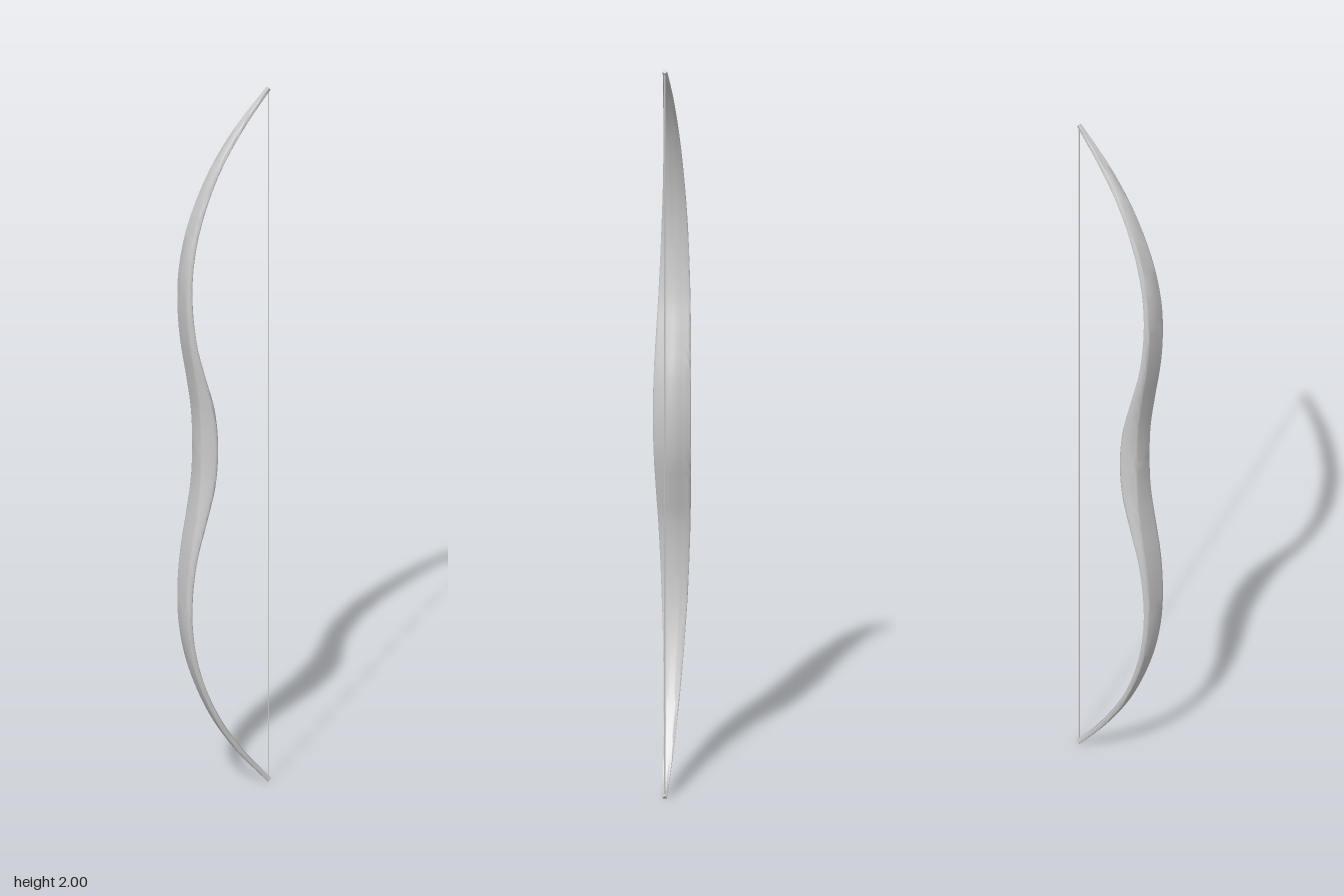
import * as THREE from 'three';
import { toCreasedNormals } from 'three/addons/utils/BufferGeometryUtils.js';

// Upper half of the stave: centre x, height, thickness, half width
const STATIONS = [
  [-0.057, 1.0, 0.06, 0.051], [-0.063, 1.1, 0.053, 0.05], [-0.083, 1.2, 0.038, 0.047],
  [-0.105, 1.3, 0.026, 0.043], [-0.116, 1.4, 0.022, 0.039], [-0.1155, 1.5, 0.021, 0.035],
  [-0.1, 1.6, 0.02, 0.03], [-0.069, 1.7, 0.018, 0.025], [-0.023, 1.8, 0.017, 0.0195],
  [0.043, 1.9, 0.015, 0.0135], [0.123, 1.995, 0.013, 0.0055],
];

// Half cross-section: depth from back (-0.5) to belly (0.5), fraction of half width
const HALF_SECTION = [
  [-0.5, 0], [-0.5, 0.68], [-0.47, 0.82], [-0.38, 0.91], [-0.15, 0.97], [0.04, 1],
  [0.13, 0.99], [0.2, 0.93], [0.24, 0.83], [0.29, 0.66], [0.37, 0.47], [0.45, 0.27], [0.5, 0],
];

// The thick grip narrows towards its back, the thin limbs stay flat
function backTaper(depth, thickness) {
  const grip = Math.max(0, (thickness - 0.02) / 0.04);
  return 1 - 0.5 * grip * Math.max(0, 0.1 - depth);
}

function staveGeometry() {
  // Mirror the half stations about the grip
  const all = [
    ...STATIONS.slice(1).reverse().map(([x, y, t, w]) => [x, 2 - y, t, w]),
    ...STATIONS,
  ];
  const path = new THREE.CatmullRomCurve3(all.map(([x, y]) => new THREE.Vector3(x, y, 0)));
  const size = new THREE.CatmullRomCurve3(all.map(([, , t, w]) => new THREE.Vector3(t, w, 0)));
  const section = [
    ...HALF_SECTION,
    ...HALF_SECTION.slice(1, -1).reverse().map(([d, w]) => [d, -w]),
  ];
  const n = section.length;
  const rings = 100;
  const positions = [];
  const index = [];
  for (let i = 0; i <= rings; i++) {
    const p = path.getPoint(i / rings);
    const s = size.getPoint(i / rings);
    const tan = path.getTangent(i / rings);
    // Depth runs along the in-plane normal, towards the belly
    for (const [d, w] of section) {
      positions.push(
        p.x + tan.y * d * s.x,
        p.y - tan.x * d * s.x,
        w * s.y * backTaper(d, s.x),
      );
    }
  }
  for (let i = 0; i < rings; i++) {
    for (let j = 0; j < n; j++) {
      const a = i * n + j;
      const b = i * n + ((j + 1) % n);
      index.push(a, b, a + n, b, b + n, a + n);
    }
  }
  // Close both tips
  const top = rings * n;
  for (let j = 1; j < n - 1; j++) {
    index.push(0, j + 1, j, top, top + j, top + j + 1);
  }
  const geometry = new THREE.BufferGeometry();
  geometry.setAttribute('position', new THREE.Float32BufferAttribute(positions, 3));
  geometry.setIndex(index);
  return toCreasedNormals(geometry, 0.9);
}

export function createModel() {
  const group = new THREE.Group();
  group.name = 'bow';
  const material = new THREE.MeshStandardMaterial({ color: 0xcccccc });

  // Recurved stave with a thicker grip
  const stave = new THREE.Mesh(staveGeometry(), material);
  stave.name = 'stave';
  group.add(stave);

  // Taut string between the tips
  const string = new THREE.Mesh(new THREE.CylinderGeometry(0.0018, 0.0018, 1.98, 8), material);
  string.name = 'string';
  string.position.set(0.122, 1, 0);
  group.add(string);

  return group;
}
